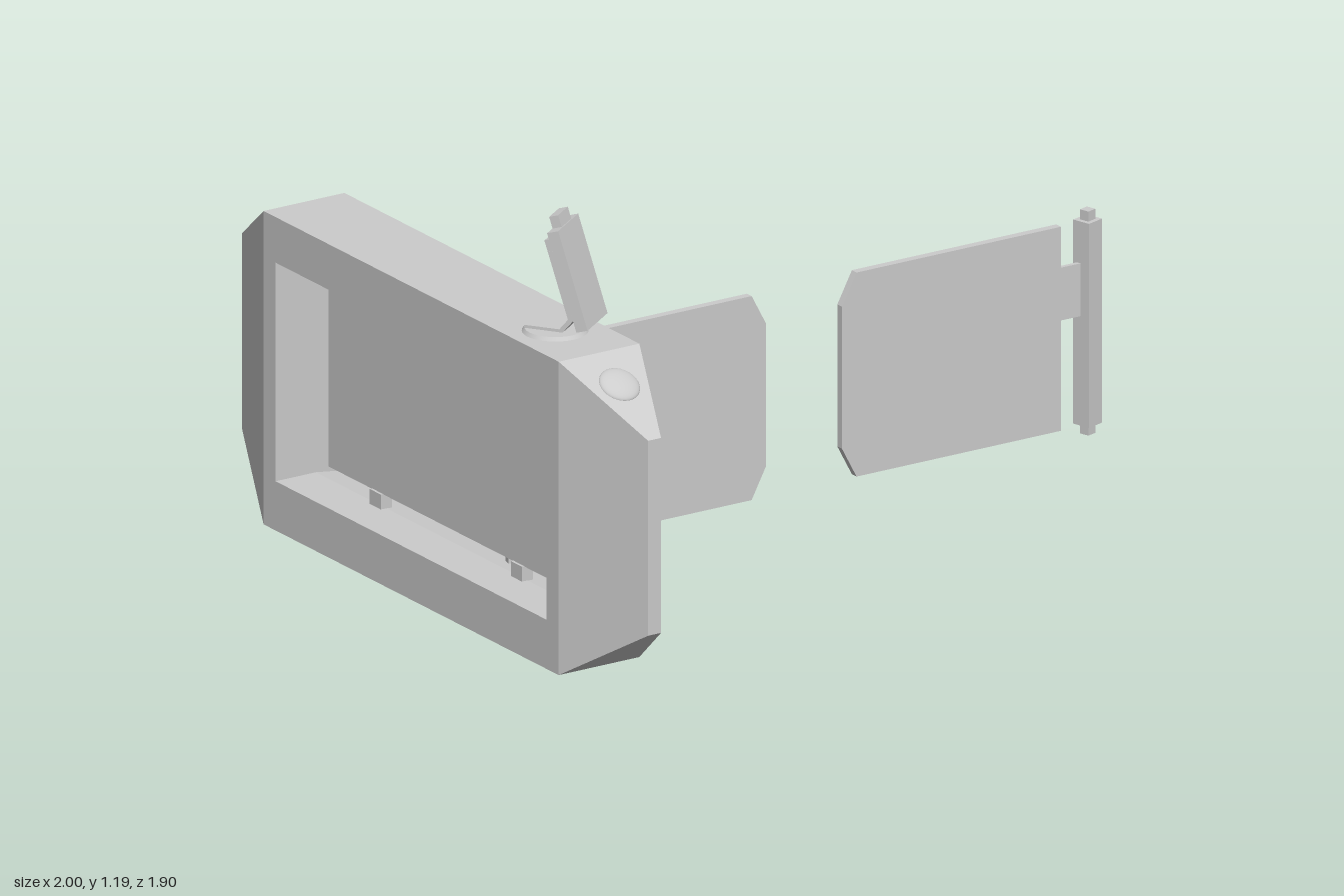
import * as THREE from 'three';

const grey = new THREE.MeshStandardMaterial({ color: 0xcccccc });

function add(parent, name, geometry, x = 0, y = 0, z = 0) {
  const mesh = new THREE.Mesh(geometry, grey);
  mesh.name = name;
  mesh.position.set(x, y, z);
  parent.add(mesh);
  return mesh;
}

const box = (w, h, d) => new THREE.BoxGeometry(w, h, d);
const shapeOf = (pts) => new THREE.Shape(pts.map(([a, b]) => new THREE.Vector2(a, b)));

// Extrude along z, centred on z = 0
function slab(shape, depth) {
  const g = new THREE.ExtrudeGeometry(shape, { depth, bevelEnabled: false });
  return g.translate(0, 0, -depth / 2);
}

// Side profile given as (z, y), extruded across x
const sideSlab = (pts, width) => slab(shapeOf(pts), width).rotateY(-Math.PI / 2);

// Tapered end of the frame, pointing along +z
function noseGeometry() {
  const g = box(0.25, 0.86, 0.26).toNonIndexed();
  const p = g.attributes.position;
  for (let i = 0; i < p.count; i++) {
    if (p.getZ(i) > 0) {
      p.setX(i, p.getX(i) * 0.16);
      p.setY(i, p.getY(i) > 0 ? 0.27 : -0.265);
    }
  }
  g.computeVertexNormals();
  return g;
}

function createFrame() {
  const frame = new THREE.Group();
  frame.name = 'frame';
  frame.position.x = -0.875;

  // Top beam and uprights in one piece
  add(frame, 'frameArch', sideSlab([
    [-0.69, 0], [-0.634, 0], [-0.634, 0.735], [0.634, 0.735],
    [0.634, 0], [0.69, 0], [0.69, 0.86], [-0.69, 0.86],
  ], 0.25));

  // Bottom beam with a long recess underneath
  const rail = shapeOf([[-0.125, -0.634], [0.125, -0.634], [0.125, 0.634], [-0.125, 0.634]]);
  rail.holes.push(new THREE.Path([
    [-0.01, -0.56], [-0.01, 0.56], [0.09, 0.56], [0.09, -0.56],
  ].map(([x, z]) => new THREE.Vector2(x, z))));
  add(frame, 'bottomBeam', slab(rail, 0.09).rotateX(-Math.PI / 2), 0, 0.045);

  // Gently sloping sill above the beam
  add(frame, 'sill', slab(shapeOf([
    [-0.125, 0.09], [0.125, 0.09], [0.125, 0.118], [0, 0.135], [-0.125, 0.135],
  ]), 1.268));

  for (const s of [1, -1]) {
    const nose = add(frame, s > 0 ? 'frontNose' : 'backNose', noseGeometry(), 0, 0.43, s * 0.82);
    if (s < 0) nose.rotation.y = Math.PI;
  }

  // Suspended inner panel held by four tabs
  add(frame, 'innerPanel', box(0.02, 0.52, 1.12), 0, 0.435, 0);
  for (const z of [0.33, -0.33])
    for (const y of [0.155, 0.715]) add(frame, 'panelTab', box(0.035, 0.042, 0.052), 0, y, z);

  // Flattened lamp on the front slope
  const lamp = add(frame, 'frontLamp', new THREE.SphereGeometry(0.056, 32, 16), 0, 0.8, 0.785);
  lamp.scale.y = 0.3;
  lamp.rotation.x = Math.atan2(0.16, 0.26);
  return frame;
}

// Flat panel with two cut corners, hinged to a square post; s points from panel to post
function createWing(name, hingeX, s, length) {
  const wing = new THREE.Group();
  wing.name = name;
  wing.position.set(hingeX, 0.435, 0.2);
  const pts = [
    [0, -0.28], [0, 0.28], [length - 0.045, 0.28],
    [length, 0.195], [length, -0.195], [length - 0.045, -0.28],
  ].map(([x, y]) => [-s * x, y]);
  add(wing, 'wingPanel', slab(shapeOf(pts), 0.022));
  add(wing, 'hingePlate', box(0.09, 0.145, 0.012), s * 0.04, 0.093, 0);

  const post = new THREE.Group();
  post.name = 'hingePost';
  post.position.x = s * 0.09;
  post.rotation.y = 0.3 * s;
  add(post, 'postBody', box(0.053, 0.56, 0.053));
  add(post, 'postPin', box(0.028, 0.615, 0.028));
  wing.add(post);
  return wing;
}

// Small tilted display on a bent bracket
function createDisplay() {
  const display = new THREE.Group();
  display.name = 'display';
  display.position.set(-0.81, 0, 0.585);
  display.rotation.y = 0.62;

  add(display, 'bracket', sideSlab([
    [-0.19, 0.866], [-0.088, 0.866], [-0.056, 0.905], [-0.122, 1.12],
    [-0.135, 1.116], [-0.07, 0.907], [-0.094, 0.878], [-0.19, 0.878],
  ], 0.062));

  const head = new THREE.Group();
  head.name = 'displayHead';
  head.position.y = 0.9;
  head.rotation.x = -0.3;
  add(head, 'screen', box(0.145, 0.275, 0.032), 0, 0.1375, -0.016);
  add(head, 'topCap', box(0.07, 0.035, 0.026), 0, 0.29, -0.018);
  add(head, 'backMount', box(0.065, 0.09, 0.03), 0, 0.17, -0.046);
  for (const x of [-0.05, 0.05]) add(head, 'clip', box(0.02, 0.03, 0.02), x, 0.24, -0.04);
  display.add(head);
  return display;
}

export function createModel() {
  const model = new THREE.Group();
  model.name = 'model';
  model.add(
    createFrame(),
    createWing('innerWing', -0.73, -1, 0.69),
    createWing('outerWing', 0.873, 1, 0.678),
    createDisplay(),
  );
  add(model, 'displayBase', new THREE.CylinderGeometry(0.08, 0.088, 0.012, 32), -0.875, 0.864, 0.485);
  return model;
}
